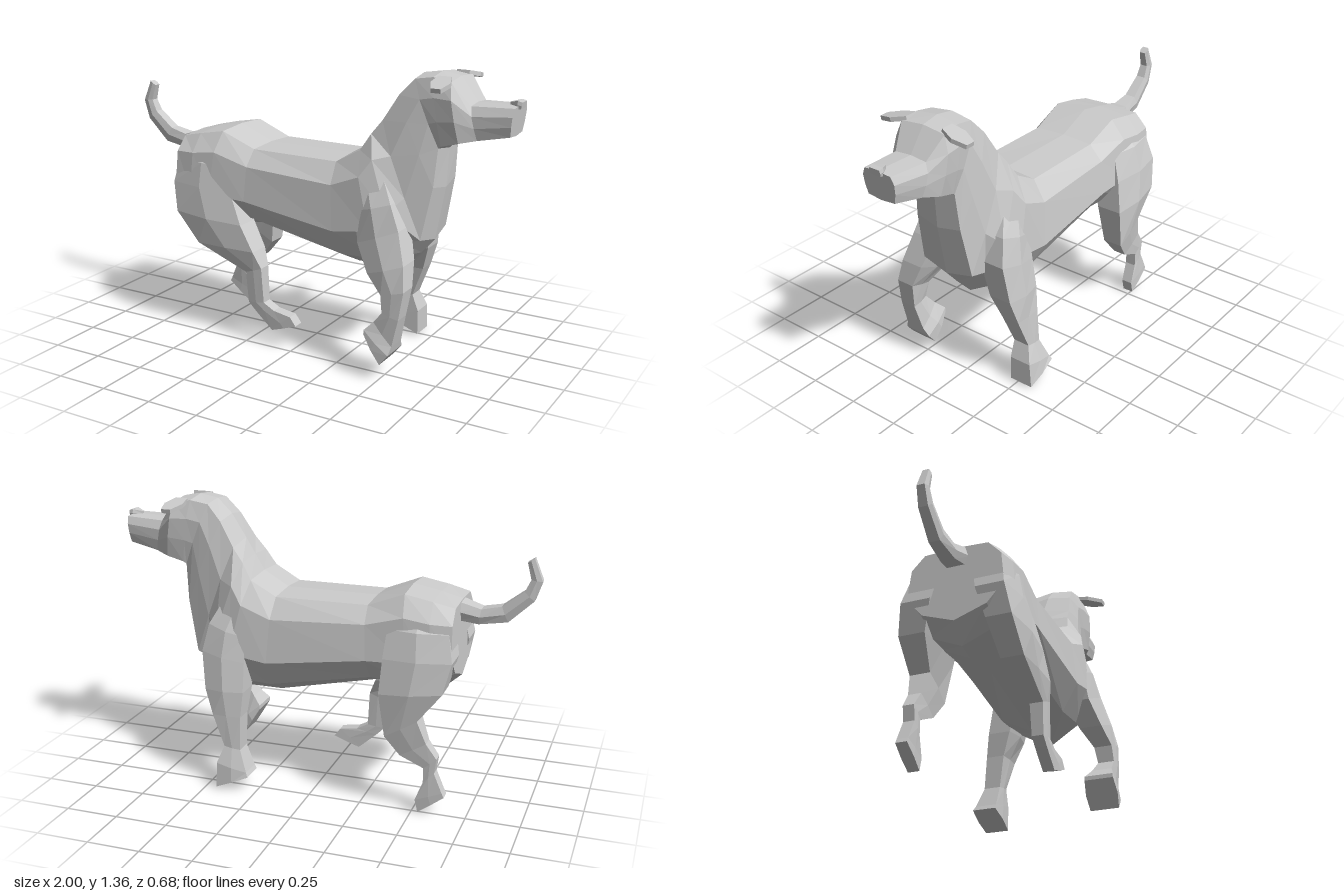
import * as THREE from 'three';

const material = new THREE.MeshStandardMaterial({ color: 0xcccccc, flatShading: true });

// Half cross-sections: [fraction from first to second edge, share of half-width]
const TORSO = [[0, 0], [0.02, 0.66], [0.2, 0.93], [0.6, 1], [0.85, 0.66], [1, 0]];
const NECK = [[0, 0], [0.04, 0.82], [0.3, 1], [0.62, 0.97], [0.95, 0.84], [1, 0]];
const THIGH = [[0, 0.75], [0.5, 1], [1, 0.75]];
const LIMB = [[0, 0.9], [0.5, 1], [1, 0.9]];

// Skin rings [ax, ay, bx, by, zCentre, halfWidth]; each ring spans edge a to edge b.
function loft(name, rings, profileAt) {
  const loops = rings.map(([ax, ay, bx, by, zc, hw], i) => {
    const half = profileAt(i);
    const point = ([t, w], side) =>
      new THREE.Vector3(ax + (bx - ax) * t, ay + (by - ay) * t, zc + side * w * hw);
    const back = half.filter(([, w]) => w > 0).reverse();
    return [...half.map((p) => point(p, 1)), ...back.map((p) => point(p, -1))];
  });
  const tris = [];
  const n = loops[0].length;
  for (let i = 0; i + 1 < loops.length; i++) {
    for (let j = 0; j < n; j++) {
      const k = (j + 1) % n;
      const a = loops[i][j], b = loops[i][k], c = loops[i + 1][k], d = loops[i + 1][j];
      tris.push([a, b, c], [a, c, d]);
    }
  }
  // End caps
  const first = loops[0], last = loops[loops.length - 1];
  for (let j = 1; j + 1 < n; j++) {
    tris.push([first[0], first[j + 1], first[j]], [last[0], last[j], last[j + 1]]);
  }
  // Turn the faces outwards
  const volume = tris.reduce((s, [a, b, c]) => s + a.dot(b.clone().cross(c)), 0);
  const points = tris.flatMap(([a, b, c]) => (volume < 0 ? [a, c, b] : [a, b, c]));
  const geometry = new THREE.BufferGeometry().setFromPoints(points);
  geometry.computeVertexNormals();
  const mesh = new THREE.Mesh(geometry, material);
  mesh.name = name;
  return mesh;
}

export function createModel() {
  const dog = new THREE.Group();
  dog.name = 'dog';

  // Torso, neck and head in one skin, from rump to muzzle
  dog.add(loft('bodyAndHead', [
    [-0.65, 0.96, -0.66, 0.6, 0, 0.23],
    [-0.55, 0.985, -0.57, 0.52, 0, 0.245],
    [-0.42, 1.01, -0.48, 0.5, 0, 0.243],
    [-0.25, 0.94, -0.27, 0.53, 0, 0.235],
    [0.19, 0.94, 0.23, 0.42, 0, 0.24],
    [0.31, 1.01, 0.46, 0.42, 0, 0.245],
    [0.355, 1.085, 0.55, 0.515, 0, 0.22],
    [0.4, 1.16, 0.615, 0.59, 0, 0.165],
    [0.47, 1.27, 0.66, 0.84, 0, 0.145],
    [0.54, 1.34, 0.67, 1.02, 0, 0.13],
    [0.63, 1.355, 0.68, 1.03, 0, 0.135],
    [0.715, 1.34, 0.76, 1.055, 0, 0.142],
    [0.795, 1.235, 0.83, 1.075, 0, 0.1],
    [0.985, 1.24, 0.97, 1.105, 0, 0.085],
  ], (i) => (i < 7 ? TORSO : NECK)));

  // Tail, curling up
  dog.add(loft('tail', [
    [-0.64, 0.955, -0.63, 0.87, 0, 0.06],
    [-0.74, 0.925, -0.73, 0.855, 0, 0.045],
    [-0.83, 0.945, -0.86, 0.875, 0, 0.035],
    [-0.925, 1.02, -0.97, 0.98, 0, 0.03],
    [-0.95, 1.075, -1.0, 1.07, 0, 0.025],
    [-0.93, 1.15, -0.96, 1.17, 0, 0.02],
  ], () => THIGH));

  // Legs in mid-stride, each posed differently, from shoulder or hip to sole
  const legs = {
    frontLegRaised: [
      [0.44, 0.9, 0.3, 0.86, 0.13, 0.075],
      [0.5, 0.79, 0.33, 0.74, 0.165, 0.085],
      [0.55, 0.68, 0.35, 0.6, 0.185, 0.085],
      [0.595, 0.54, 0.42, 0.48, 0.23, 0.075],
      [0.61, 0.43, 0.5, 0.4, 0.265, 0.05],
      [0.59, 0.3, 0.51, 0.32, 0.275, 0.045],
      [0.56, 0.17, 0.47, 0.27, 0.265, 0.055],
      [0.55, 0.13, 0.43, 0.23, 0.26, 0.078],
      [0.51, 0.08, 0.43, 0.21, 0.26, 0.08],
    ],
    frontLegPlanted: [
      [0.44, 0.9, 0.3, 0.86, -0.13, 0.075],
      [0.5, 0.79, 0.32, 0.74, -0.165, 0.085],
      [0.53, 0.66, 0.32, 0.62, -0.185, 0.085],
      [0.51, 0.48, 0.32, 0.48, -0.215, 0.075],
      [0.47, 0.36, 0.33, 0.36, -0.24, 0.05],
      [0.41, 0.21, 0.33, 0.2, -0.255, 0.045],
      [0.44, 0.13, 0.29, 0.1, -0.27, 0.06],
      [0.44, 0.01, 0.28, 0.08, -0.275, 0.065],
    ],
    hindLegForward: [
      [-0.39, 0.94, -0.6, 0.93, 0.11, 0.06],
      [-0.36, 0.85, -0.64, 0.85, 0.145, 0.09],
      [-0.34, 0.73, -0.665, 0.74, 0.165, 0.09],
      [-0.27, 0.58, -0.635, 0.6, 0.195, 0.08],
      [-0.2, 0.46, -0.51, 0.46, 0.205, 0.06],
      [-0.165, 0.38, -0.25, 0.35, 0.21, 0.035],
      [-0.155, 0.21, -0.24, 0.2, 0.21, 0.03],
      [-0.1, 0.18, -0.2, 0.16, 0.21, 0.03],
      [-0.01, 0.165, -0.115, 0.085, 0.21, 0.03],
      [0.02, 0.125, -0.11, 0.08, 0.21, 0.03],
    ],
    hindLegBack: [
      [-0.39, 0.94, -0.6, 0.93, -0.11, 0.06],
      [-0.36, 0.85, -0.64, 0.85, -0.15, 0.095],
      [-0.35, 0.72, -0.665, 0.73, -0.185, 0.095],
      [-0.34, 0.56, -0.63, 0.59, -0.215, 0.085],
      [-0.37, 0.36, -0.52, 0.45, -0.225, 0.055],
      [-0.44, 0.27, -0.56, 0.34, -0.225, 0.035],
      [-0.55, 0.22, -0.61, 0.27, -0.225, 0.03],
      [-0.55, 0.15, -0.6, 0.2, -0.225, 0.03],
      [-0.515, 0.06, -0.64, 0.11, -0.23, 0.03],
      [-0.53, 0.0, -0.65, 0.09, -0.23, 0.03],
    ],
  };
  for (const [name, rings] of Object.entries(legs)) {
    dog.add(loft(name, rings, (i) => (i < 4 ? THIGH : LIMB)));
  }

  // Small leaf-shaped ears drooping out sideways
  const earOutline = [[0.65, 0.1], [0.71, 0.1], [0.735, 0.17], [0.72, 0.24], [0.675, 0.24], [0.645, 0.17]];
  for (const side of [1, -1]) {
    const shape = new THREE.Shape(earOutline.map(([x, z]) => new THREE.Vector2(x, side * z)));
    const geometry = new THREE.ExtrudeGeometry(shape, { depth: 0.02, bevelEnabled: false });
    geometry.rotateX(Math.PI / 2 + side * 0.22).translate(0, 1.37, 0);
    const ear = new THREE.Mesh(geometry, material);
    ear.name = side > 0 ? 'rightEar' : 'leftEar';
    dog.add(ear);
  }

  // Nose: a wedge narrowing towards the muzzle
  dog.add(loft('nose', [
    [0.94, 1.25, 0.94, 1.225, 0, 0.006],
    [0.98, 1.26, 0.98, 1.225, 0, 0.032],
    [1.0, 1.255, 0.995, 1.225, 0, 0.03],
  ], () => LIMB));

  return dog;
}
